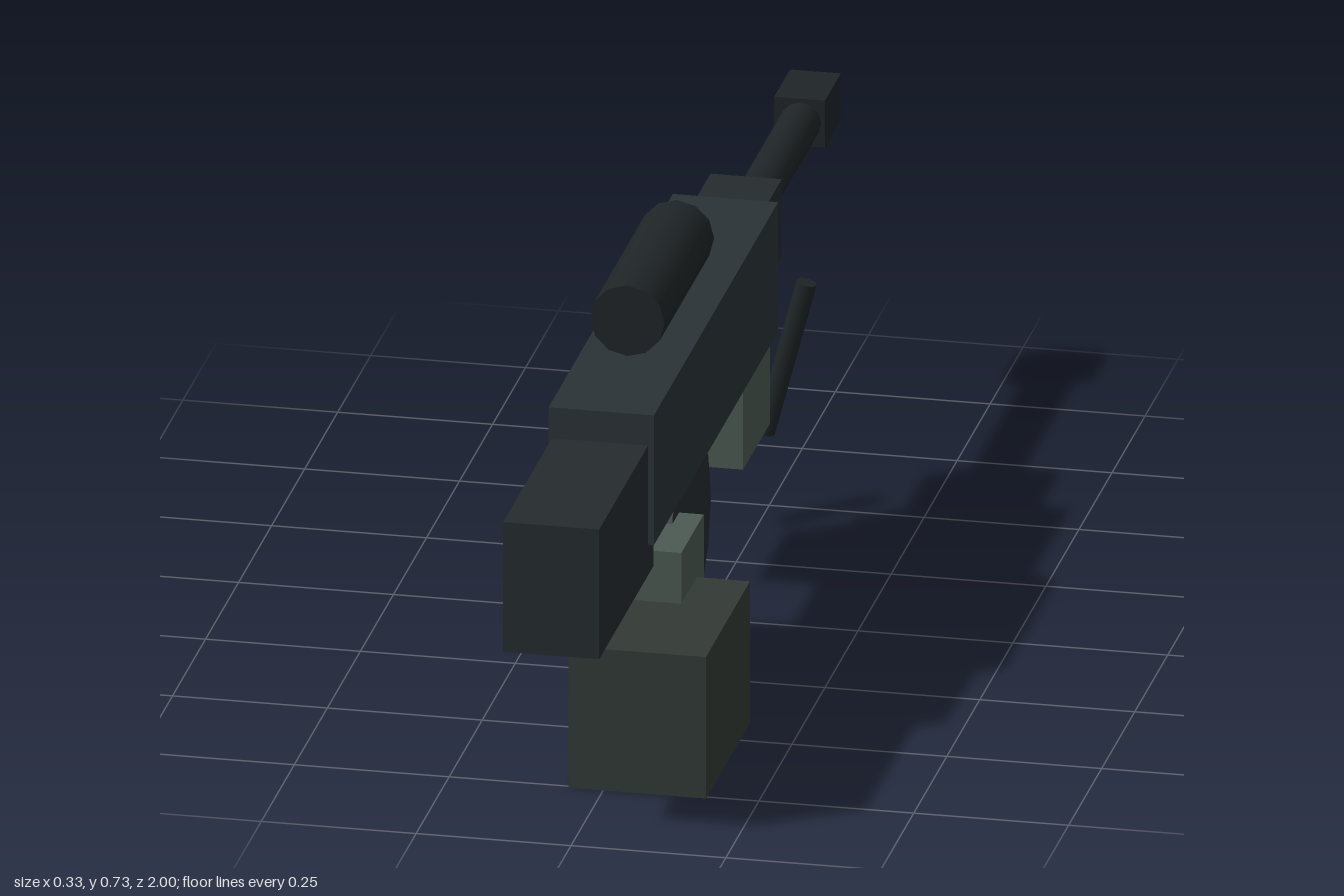
import * as THREE from 'three';

export function createModel() {
  const model = new THREE.Group();
  const CX = -0.03; // centre line of the rifle

  const paint = (color) => new THREE.MeshStandardMaterial({ color });
  const steel = paint(0x2a3236);
  const dark = paint(0x252b2e);
  const black = paint(0x1f2527);
  const green = paint(0x4c5a53);
  const olive = paint(0x323a36);
  const glass = paint(0x123238);

  const add = (name, geometry, material, x, y, z) => {
    const mesh = new THREE.Mesh(geometry, material);
    mesh.name = name;
    mesh.position.set(x, y, z);
    model.add(mesh);
    return mesh;
  };
  // Box given by its centre x, width and its y and z ranges
  const box = (name, material, x, w, y0, y1, z0, z1) =>
    add(name, new THREE.BoxGeometry(w, y1 - y0, z1 - z0), material, x, (y0 + y1) / 2, (z0 + z1) / 2);
  // Cylinder lying along z
  const tube = (name, material, r, y, z0, z1) =>
    add(name, new THREE.CylinderGeometry(r, r, z1 - z0, 12).rotateX(Math.PI / 2), material, CX, y, (z0 + z1) / 2);

  // Stock, receiver and barrel group
  box('stock', dark, CX - 0.002, 0.155, 0.32, 0.54, 0.59, 1);
  box('receiver', steel, CX, 0.17, 0.372, 0.592, -0.31, 0.63);
  box('barrelShroud', dark, CX - 0.002, 0.115, 0.433, 0.565, -0.475, -0.31);
  tube('barrel', black, 0.033, 0.502, -0.89, -0.47);
  box('muzzleBrake', black, CX - 0.002, 0.082, 0.461, 0.541, -1, -0.88);

  // Scope with its mount and front lens
  box('scopeMount', black, CX, 0.05, 0.58, 0.63, 0.205, 0.29);
  tube('scope', black, 0.06, 0.67, 0.057, 0.433);
  tube('scopeLens', glass, 0.051, 0.67, 0.04, 0.07);

  // Drum magazine, axis across the rifle
  add('drumMagazine', new THREE.CylinderGeometry(0.155, 0.155, 0.14, 12).rotateZ(Math.PI / 2),
    dark, CX, 0.26, 0.283);

  // Pistol grip, raked so its foot points toward the muzzle
  const grip = add('pistolGrip', new THREE.BoxGeometry(0.08, 0.22, 0.1), dark, CX, 0.262, 0.455);
  grip.rotation.x = 0.28;

  // Boxes under the receiver
  box('foregripBlock', green, CX, 0.155, 0.226, 0.373, -0.285, -0.08);
  box('feedBlock', green, 0.0025, 0.155, 0.123, 0.326, 0.37, 0.54);
  box('ammoBox', olive, 0.055, 0.222, 0, 0.24, 0.423, 0.757);

  // Bipod legs, leaning in toward the foot
  for (const side of [-1, 1]) {
    const leg = add(side > 0 ? 'leftBipodLeg' : 'rightBipodLeg',
      new THREE.CylinderGeometry(0.0165, 0.0165, 0.268, 8), black, CX + side * 0.087, 0.311, -0.358);
    leg.rotation.z = -side * 0.255;
  }
  return model;
}
